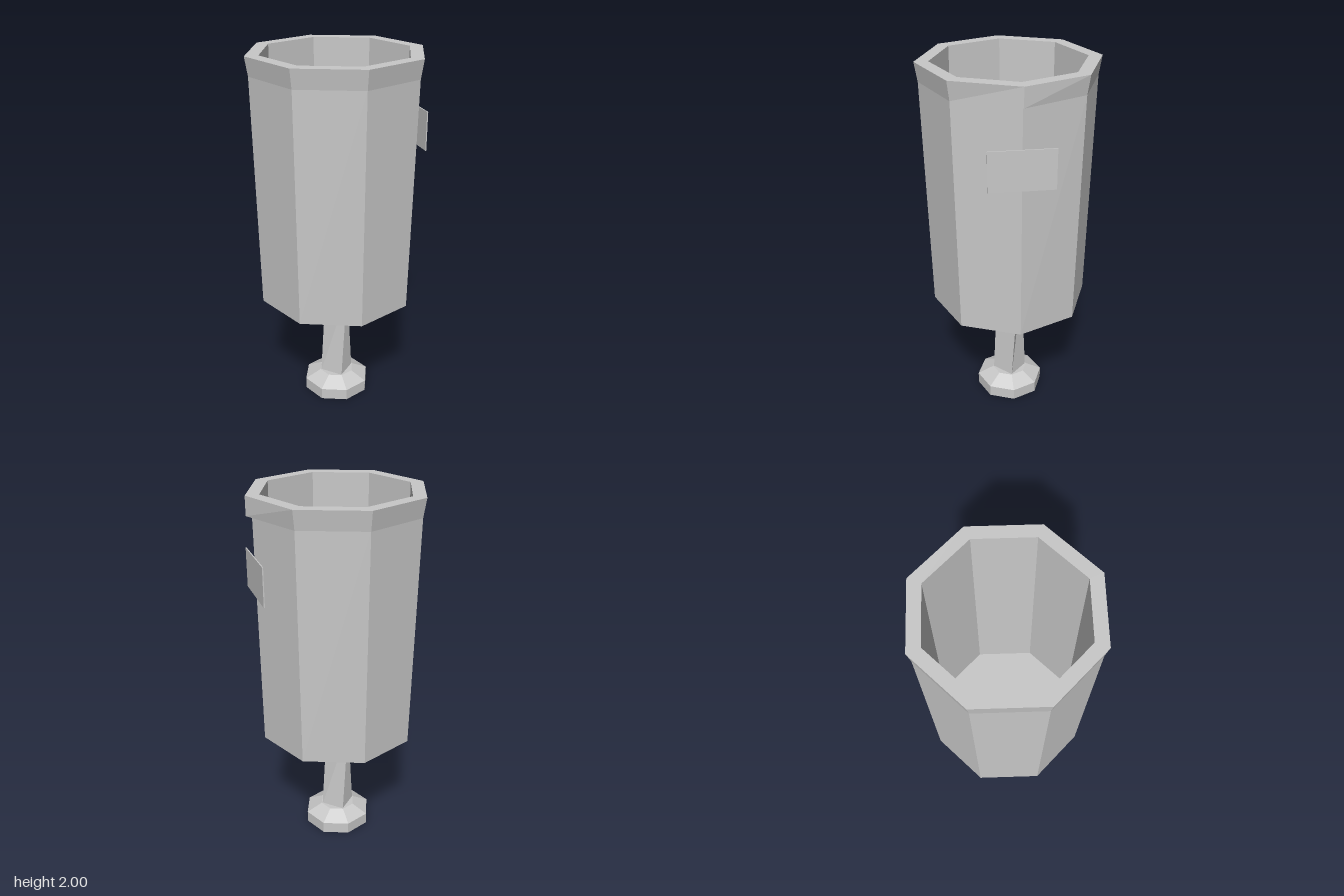
import * as THREE from 'three';

const steel = new THREE.MeshStandardMaterial({ color: 0xc8c8c8, side: THREE.DoubleSide });
steel.name = 'grey steel';

// Faceted skin through stacked polygon rings, listed from bottom outside upwards.
// Each ring: y, r, optional turn (radians) and optional corner radius for the +x corner.
function loft(sides, rings) {
  const positions = [];
  const index = [];
  for (const { y, r, turn = 0, corner = r } of rings) {
    for (let i = 0; i < sides; i++) {
      const a = (i / sides) * Math.PI * 2 + turn;
      const radius = i === sides / 4 ? corner : r;
      positions.push(radius * Math.sin(a), y, radius * Math.cos(a));
    }
  }
  for (let k = 0; k < rings.length - 1; k++) {
    for (let i = 0; i < sides; i++) {
      const j = (i + 1) % sides;
      const a = k * sides + i, b = k * sides + j;
      index.push(a, b, b + sides, a, b + sides, a + sides);
    }
  }
  const indexed = new THREE.BufferGeometry();
  indexed.setAttribute('position', new THREE.Float32BufferAttribute(positions, 3));
  indexed.setIndex(index);
  const geometry = indexed.toNonIndexed();
  geometry.computeVertexNormals();
  return geometry;
}

export function createModel() {
  const model = new THREE.Group();
  model.name = 'litterBin';

  function add(name, geometry) {
    const mesh = new THREE.Mesh(geometry, steel);
    mesh.name = name;
    model.add(mesh);
    return mesh;
  }

  // Octagonal foot, open underneath
  add('foot', loft(8, [
    { y: 0, r: 0.19 },
    { y: 0.065, r: 0.19 },
    { y: 0.11, r: 0.1 },
    { y: 0.11, r: 0 },
  ]));

  // Square post with a slight twist
  add('post', loft(4, [
    { y: 0.1, r: 0.095 },
    { y: 0.64, r: 0.086, turn: 0.44 },
  ]));

  // Octagonal bin: outer wall with recessed door corner, flared rim, inner wall and floor
  add('bin', loft(8, [
    { y: 0.64, r: 0 },
    { y: 0.64, r: 0.43 },
    { y: 1.9, r: 0.456, corner: 0.441 },
    { y: 1.9, r: 0.456, corner: 0.472 },
    { y: 2, r: 0.472 },
    { y: 2, r: 0.4 },
    { y: 0.67, r: 0.4 },
    { y: 0.67, r: 0 },
  ]));

  // Thin plate on the door
  add('doorPlate', new THREE.BoxGeometry(0.006, 0.21, 0.335)).position.set(0.441, 1.585, 0);

  return model;
}
